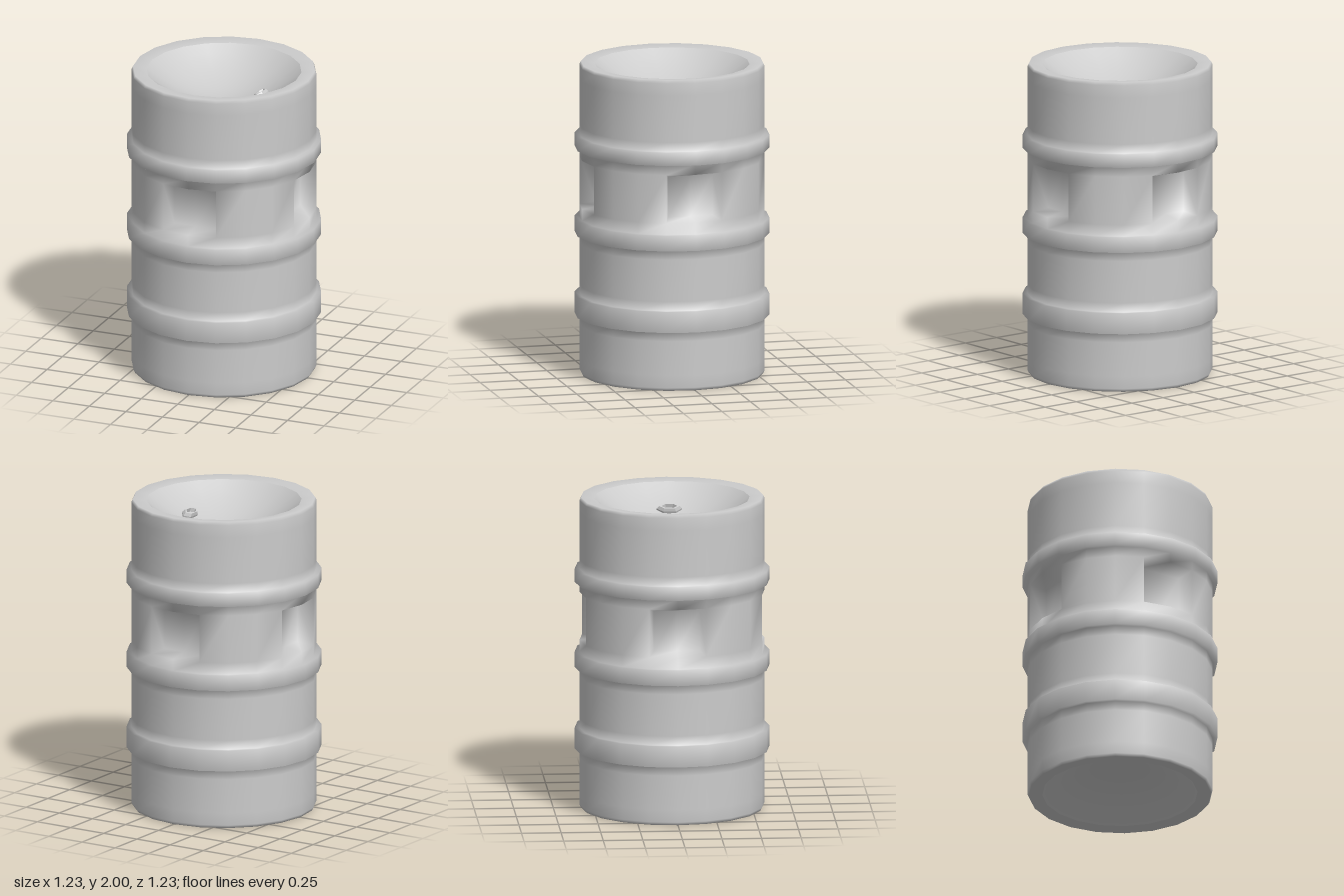
import * as THREE from 'three';

const SIDES = 20;
const material = new THREE.MeshStandardMaterial({ color: 0xcccccc, side: THREE.DoubleSide });

// Wall radius, hoop radius and rim opening
const R = 0.585, HOOP = 0.615, OPEN = 0.49;
const hoops = [[0.38, 0.515], [0.905, 1.005], [1.455, 1.54]];
const GRIP_LOW = 1.08, GRIP_HIGH = 1.39;

function polar(r, y, j) {
  const a = (j / SIDES) * Math.PI * 2;
  return [r * Math.sin(a), y, r * Math.cos(a)];
}

// Shell with rolled rims, raised hoops and four recessed hand grips
function shellGeometry() {
  const profile = [[OPEN, 0.01], [0.575, 0], [R, 0.02], [R, 0.1]];
  hoops.forEach(([low, high], i) => {
    if (i === 2) profile.push([R, GRIP_LOW], [R, GRIP_HIGH]);
    else profile.push([R, low - 0.06]);
    profile.push([R, low], [HOOP, low], [HOOP, high], [R, high]);
    if (i !== 1) profile.push([R, high + 0.06]);
  });
  profile.push([R, 1.9], [R, 1.98], [0.575, 2], [OPEN, 1.99]);

  const positions = [], index = [];
  const quad = (a, b, c, d) => index.push(a, b, c, a, c, d);
  const at = (i, j) => i * SIDES + ((j + SIDES) % SIDES);
  profile.forEach(([r, y]) => {
    for (let j = 0; j < SIDES; j++) positions.push(...polar(r, y, j));
  });

  const gripRow = profile.findIndex(([, y]) => y === GRIP_LOW);
  for (let i = 0; i < profile.length - 1; i++) {
    for (let j = 0; j < SIDES; j++) {
      const isGrip = i === gripRow && (j % 5 === 0 || j % 5 === 4);
      if (!isGrip) quad(at(i, j), at(i, j + 1), at(i + 1, j + 1), at(i + 1, j));
    }
  }

  // Recessed pockets, one facing each axis
  const columns = [-1, 0, 1, 1, 0, -1];
  for (let g = 0; g < 4; g++) {
    const turn = (g * Math.PI) / 2, first = positions.length / 3;
    const outer = columns.map((c, k) => at(gripRow + (k < 3 ? 0 : 1), g * 5 + c));
    columns.forEach((c, k) => {
      const p = new THREE.Vector3(c * 0.145, k < 3 ? 1.1 : 1.36, 0.46);
      p.applyAxisAngle(new THREE.Vector3(0, 1, 0), turn);
      positions.push(p.x, p.y, p.z);
    });
    for (let k = 0; k < 6; k++) {
      const n = (k + 1) % 6;
      quad(outer[k], outer[n], first + n, first + k);
    }
    quad(first, first + 1, first + 4, first + 5);
    quad(first + 1, first + 2, first + 3, first + 4);
  }

  const geometry = new THREE.BufferGeometry();
  geometry.setAttribute('position', new THREE.Float32BufferAttribute(positions, 3));
  geometry.setIndex(index);
  geometry.computeVertexNormals();
  return geometry;
}

// Concave end plate, sunk below the rim
const CURVE = 0.81;
const dishHeight = (r) => 1.99 - CURVE * (OPEN * OPEN - r * r);

function dishGeometry(top) {
  const points = [];
  for (let i = 0; i <= 8; i++) {
    const r = (OPEN * (top ? 8 - i : i)) / 8;
    points.push(new THREE.Vector2(r, top ? dishHeight(r) : 2 - dishHeight(r)));
  }
  return new THREE.LatheGeometry(points, SIDES);
}

// Small six-sided filler fitting with a slot
function fittingMesh() {
  const points = [[0.08, -0.02], [0.08, 0.015], [0.065, 0.035], [0.05, 0.035], [0.04, 0.01], [0, 0.01]]
    .map(([x, y]) => new THREE.Vector2(x, y));
  const geometry = new THREE.LatheGeometry(points, 6).toNonIndexed();
  geometry.scale(0.48, 1, 1);
  geometry.computeVertexNormals();
  const fitting = new THREE.Mesh(geometry, material);
  fitting.position.set(0.26, dishHeight(0.26), 0);
  fitting.rotation.z = Math.atan(2 * CURVE * 0.26);
  return fitting;
}

export function createModel() {
  const group = new THREE.Group();
  group.name = 'barrel';
  const add = (name, mesh) => {
    mesh.name = name;
    group.add(mesh);
  };
  add('shell', new THREE.Mesh(shellGeometry(), material));
  add('topPlate', new THREE.Mesh(dishGeometry(true), material));
  add('bottomPlate', new THREE.Mesh(dishGeometry(false), material));
  add('fillerFitting', fittingMesh());
  return group;
}
